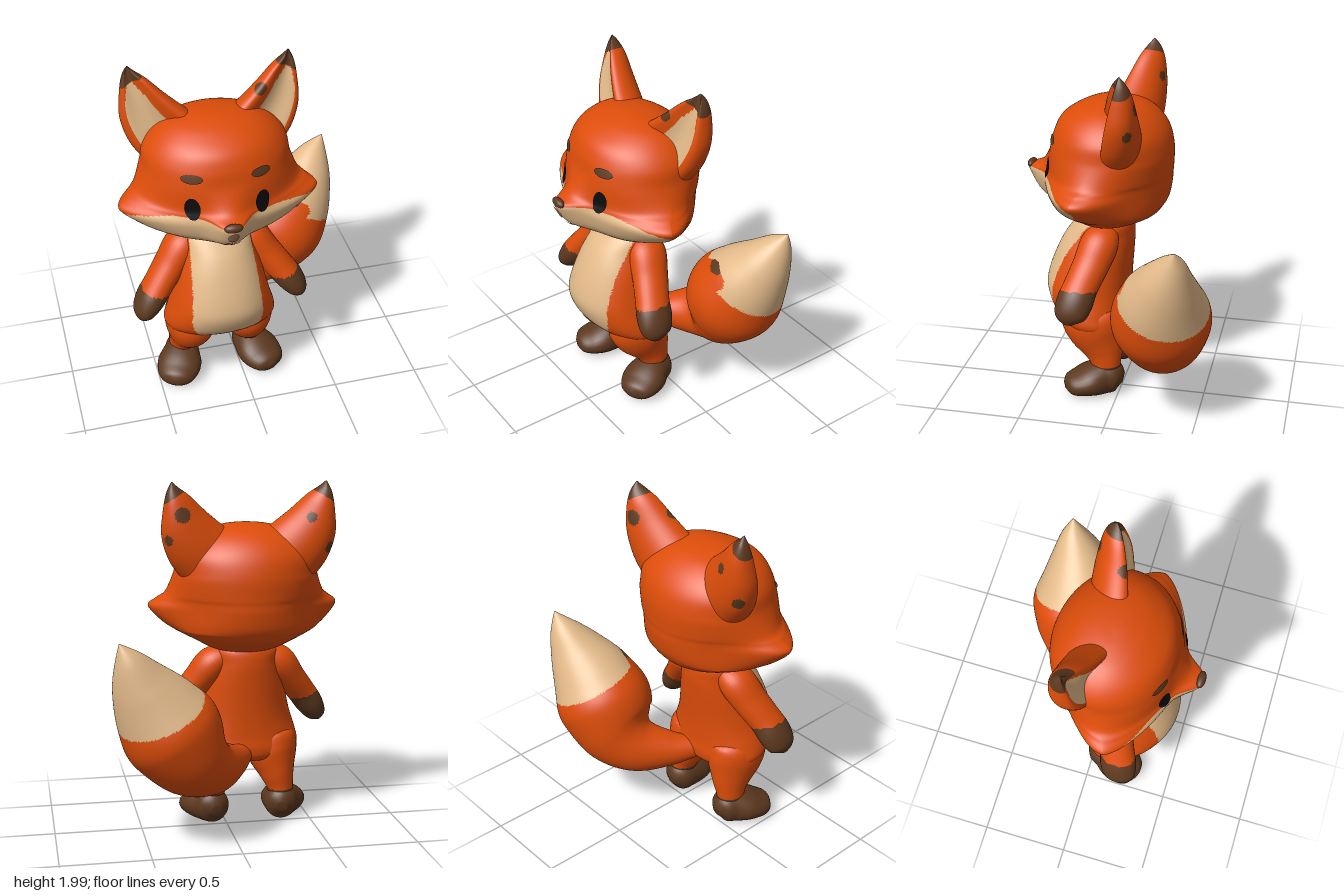
import * as THREE from 'three';

const mat = (name, color) => { const m = new THREE.MeshStandardMaterial({ color }); m.name = name; return m; };
const ORANGE = mat('orange fur', 0xdd4d0a);
const CREAM = mat('cream fur', 0xe3ba8a);
const BROWN = mat('brown fur', 0x5d391f);
const TAN = mat('tan fur', 0xa8795a);
const BLACK = mat('black', 0x0b0b0b);

// Smoothly interpolates rows of numbers, t from 0 to 1
function sample(keys, t) {
  const f = Math.min(Math.max(t, 0), 1) * (keys.length - 1);
  const i = Math.min(Math.floor(f), keys.length - 2), s = f - i;
  const row = (k) => keys[Math.min(Math.max(k, 0), keys.length - 1)];
  const [a, b, c, d] = [row(i - 1), row(i), row(i + 1), row(i + 2)];
  return b.map((p, k) => p + 0.5 * s * (c[k] - a[k]
    + s * (2 * a[k] - 5 * p + 4 * c[k] - d[k] + s * (3 * (p - c[k]) + d[k] - a[k]))));
}

// Closed skin over point(t, angle); pick(centroid, t, angle) chooses among the materials
function skin(name, rows, cols, point, materials, pick = () => 0) {
  const pos = [], tris = [];
  const add = (p) => pos.push(p.x, p.y, p.z);
  for (let i = 0; i <= rows; i++)
    for (let j = 0; j < cols; j++) add(point(i / rows, (j / cols) * Math.PI * 2));
  const at = (k) => new THREE.Vector3().fromArray(pos, k * 3);
  const caps = [0, rows].map((i) => {
    const c = new THREE.Vector3();
    for (let j = 0; j < cols; j++) c.addScaledVector(at(i * cols + j), 1 / cols);
    add(c);
    return pos.length / 3 - 1;
  });
  for (let j = 0; j < cols; j++) {
    const k = (j + 1) % cols, end = rows * cols, ang = ((j + 0.5) / cols) * Math.PI * 2;
    tris.push([caps[0], k, j, 0, ang], [caps[1], end + j, end + k, 1, ang]);
    for (let i = 0; i < rows; i++) {
      const a = i * cols + j, b = i * cols + k, t = (i + 0.5) / rows;
      tris.push([a, b, b + cols, t, ang], [a, b + cols, a + cols, t, ang]);
    }
  }
  // Turn all faces outward
  let volume = 0;
  for (const [a, b, c] of tris) volume += at(a).dot(at(b).cross(at(c)));
  const sets = materials.map(() => []);
  for (const [a, b, c, t, ang] of tris) {
    const mid = at(a).add(at(b)).add(at(c)).divideScalar(3);
    sets[pick(mid, t, ang)].push(...(volume > 0 ? [a, b, c] : [a, c, b]));
  }
  const g = new THREE.BufferGeometry();
  g.setAttribute('position', new THREE.Float32BufferAttribute(pos, 3));
  g.setIndex(sets.flat());
  let start = 0;
  sets.forEach((s, i) => { g.addGroup(start, s.length, i); start += s.length; });
  g.computeVertexNormals();
  const mesh = new THREE.Mesh(g, materials.length > 1 ? materials : materials[0]);
  mesh.name = name;
  return mesh;
}

// Limb along a path; rows are x, y, z, radius, second radius
function limb(name, keys, side, ref, materials, pick, rows = 40, cols = 28) {
  const point = (t, a) => {
    const [x, y, z, r, r2] = sample(keys, t);
    const p = sample(keys, t - 0.02), q = sample(keys, t + 0.02);
    const dir = new THREE.Vector3(q[0] - p[0], q[1] - p[1], q[2] - p[2]).normalize();
    const u = ref.clone().cross(dir).normalize(), v = dir.clone().cross(u);
    const o = new THREE.Vector3(x, y, z).addScaledVector(u, Math.cos(a) * Math.max(r, 0.002))
      .addScaledVector(v, Math.sin(a) * Math.max(r2, 0.002));
    return o.set(o.x * side, Math.max(o.y, 0.003), o.z);
  };
  return skin(name, rows, cols, point, materials, pick);
}

// Head levels: y, half width, z of widest point, front z, back z, roundness, snout
const HEAD = [
  [1.02, 0.1, 0.1, 0.2, 0.0, 2, 0], [1.045, 0.2, 0.1, 0.27, -0.07, 2, 0],
  [1.1, 0.3, 0.1, 0.34, -0.18, 2, 0.01], [1.15, 0.4, 0.12, 0.4, -0.225, 1.8, 0.04],
  [1.2, 0.48, 0.15, 0.44, -0.25, 1.6, 0.07], [1.28, 0.55, 0.18, 0.465, -0.265, 1.45, 0.095],
  [1.33, 0.5, 0.16, 0.46, -0.267, 1.5, 0.11], [1.37, 0.455, 0.12, 0.445, -0.27, 1.7, 0.04],
  [1.48, 0.41, 0.08, 0.425, -0.27, 2, 0], [1.58, 0.39, 0.06, 0.4, -0.245, 2, 0],
  [1.66, 0.33, 0.06, 0.355, -0.19, 2, 0], [1.72, 0.24, 0.07, 0.26, -0.11, 2, 0],
  [1.75, 0.13, 0.08, 0.17, -0.02, 2, 0], [1.76, 0.03, 0.09, 0.11, 0.07, 2, 0],
];
const snoutAt = (x, s) => s * Math.exp(-(Math.abs(x / 0.098) ** 2.6));

// Diamond-shaped face in front, round skull with tapering cheeks behind
function headPoint(t, a) {
  const [y, w, zw, zf, zb, e, s] = sample(HEAD, t);
  const c = Math.abs(Math.cos(a)), n = Math.abs(Math.sin(a)), sx = Math.sign(Math.cos(a));
  if (Math.sin(a) < 0) {
    const skull = Math.min(w, 0.415);
    return new THREE.Vector3(sx * (skull * c + (w - skull) * c ** 8), y, zw + (zb - zw) * n);
  }
  const x = w * sx * c ** (2 / e);
  return new THREE.Vector3(x, y, zw + (zf - zw) * n ** (2 / e) + snoutAt(x, s));
}
const muzzlePick = (p) => (p.z > 0.17 && p.y < Math.min(1.326, 1.275 + 0.4 * (p.z - 0.245)) ? 1 : 0);

// Depth of the face at x, y
function faceZ(x, y) {
  let lo = 0, hi = 1;
  for (let i = 0; i < 30; i++) {
    const m = (lo + hi) / 2;
    if (sample(HEAD, m)[0] < y) lo = m; else hi = m;
  }
  const [, w, zw, zf, , e, s] = sample(HEAD, lo);
  return zw + (zf - zw) * Math.max(0, 1 - Math.abs(x / w) ** e) ** (1 / e) + snoutAt(x, s);
}

// Thin painted oval that follows the face
function faceMark(name, x, y, rx, ry, tilt, material) {
  const g = new THREE.RingGeometry(0, 1, 24, 5).scale(rx, ry, 1).rotateZ(tilt).translate(x, y, 0);
  const p = g.attributes.position;
  for (let i = 0; i < p.count; i++) p.setZ(i, faceZ(p.getX(i), p.getY(i)) + 0.008);
  g.computeVertexNormals();
  const mesh = new THREE.Mesh(g, material);
  mesh.name = name;
  return mesh;
}

// Ear sections: outer x, y, inner x, y, centre z, depth
const EAR = [
  [0.36, 1.44, 0.02, 1.66, 0.02, 0.16], [0.445, 1.56, 0.12, 1.735, 0.0, 0.15],
  [0.488, 1.7, 0.235, 1.83, -0.025, 0.122], [0.48, 1.84, 0.33, 1.92, -0.047, 0.085],
  [0.462, 1.935, 0.395, 1.967, -0.06, 0.045], [0.433, 1.997, 0.428, 1.997, -0.065, 0.004],
];
// Brown flecks on the ears: x, y, z, radius
const FLECKS = [
  [0.38, 1.82, -0.13, 0.045], [0.46, 1.68, -0.12, 0.03], [0.26, 1.83, 0.03, 0.035],
  [-0.45, 1.63, -0.11, 0.035], [-0.34, 1.8, -0.13, 0.03],
];
function ear(name, side) {
  const point = (t, a) => {
    const [ox, oy, ix, iy, zc, d] = sample(EAR, t);
    const c = Math.cos(a), n = Math.sin(a), k = (c + 1) / 2;
    const z = zc + d * n * (n > 0 ? 1 - 0.85 * n * n : 1) + 0.2 * d * c;
    return new THREE.Vector3(side * (ox + (ix - ox) * k), oy + (iy - oy) * k, z);
  };
  const pick = (p, t, a) => {
    if (p.y + 0.6 * (Math.abs(p.x) - 0.43) > 1.905) return 2;
    if (FLECKS.some(([x, y, z, r]) => Math.hypot(p.x - x, p.y - y, p.z - z) < r)) return 2;
    const width = 0.54 * Math.min(1, (0.84 - t) * 3);
    return Math.sin(a) > 0 && t > 0.16 && Math.abs(Math.cos(a) + 0.2) < width ? 1 : 0;
  };
  return skin(name, 70, 64, point, [ORANGE, CREAM, BROWN], pick);
}

// Torso levels: y, half width, front z, back z
const TORSO = [
  [1.08, 0.12, 0.24, 0.0], [1.03, 0.185, 0.28, -0.04], [0.95, 0.2, 0.345, -0.05],
  [0.85, 0.23, 0.4, -0.045], [0.72, 0.26, 0.45, -0.035], [0.62, 0.285, 0.465, -0.03],
  [0.52, 0.315, 0.43, -0.03], [0.45, 0.322, 0.375, -0.035], [0.4, 0.28, 0.315, -0.025],
  [0.37, 0.19, 0.25, 0.01], [0.355, 0.07, 0.18, 0.07],
];
function torsoPoint(t, a) {
  const [y, w, zf, zb] = sample(TORSO, t);
  const round = (v) => Math.sign(v) * Math.abs(v) ** 0.94;
  return new THREE.Vector3(w * round(Math.cos(a)), y, (zf + zb) / 2 + ((zf - zb) / 2) * round(Math.sin(a)));
}
function bellyPick(p) {
  const low = Math.max(0, 0.6 - p.y) / 0.22;
  const half = low > 0 ? 0.205 * Math.sqrt(Math.max(0, 1 - low * low)) : 0.205 - 0.08 * (p.y - 0.6);
  return p.z > 0.17 && Math.abs(p.x) < half ? 1 : 0;
}

const ARM = [
  [0.12, 1.0, 0.1, 0.06, 0.08], [0.195, 0.945, 0.115, 0.095, 0.11], [0.275, 0.84, 0.15, 0.088, 0.105],
  [0.352, 0.74, 0.19, 0.083, 0.1], [0.41, 0.66, 0.215, 0.08, 0.105],
  [0.455, 0.59, 0.235, 0.058, 0.085], [0.475, 0.55, 0.24, 0.012, 0.02],
];
const LEG = [
  [0.15, 0.6, 0.19, 0.06, 0.08], [0.163, 0.49, 0.175, 0.14, 0.18], [0.17, 0.38, 0.138, 0.145, 0.175],
  [0.19, 0.27, 0.097, 0.103, 0.124], [0.205, 0.19, 0.08, 0.078, 0.09], [0.205, 0.12, 0.08, 0.075, 0.085],
];
const FOOT = [
  [0.195, 0.09, -0.025, 0.03, 0.03], [0.2, 0.098, 0.015, 0.085, 0.09], [0.212, 0.1, 0.08, 0.105, 0.105],
  [0.24, 0.088, 0.16, 0.13, 0.095], [0.268, 0.072, 0.23, 0.12, 0.075],
  [0.288, 0.064, 0.285, 0.085, 0.055], [0.298, 0.06, 0.31, 0.02, 0.02],
];
const TAIL = [
  [-0.1, 0.42, 0.02, 0.06], [0.0, 0.41, -0.1, 0.105], [0.13, 0.43, -0.23, 0.165], [0.25, 0.51, -0.285, 0.235],
  [0.36, 0.66, -0.297, 0.28], [0.45, 0.8, -0.315, 0.24], [0.532, 0.94, -0.35, 0.17],
  [0.6, 1.08, -0.39, 0.085], [0.65, 1.18, -0.41, 0.003],
].map((k) => [...k, k[3]]);
// Cream tip, with a brown fleck in an orange notch at its front edge
function tailPick(p) {
  const oval = (y, rx, ry) => p.z > -0.25 && Math.hypot((p.x - 0.375) / rx, (p.y - y) / ry) < 1;
  if (oval(0.918, 0.058, 0.024)) return 2;
  if (oval(0.87, 0.12, 0.06)) return 0;
  return p.y + 0.45 * p.x > 1.03 + 0.28 * (p.z + 0.1) ? 1 : 0;
}

export function createModel() {
  const model = new THREE.Group();
  model.name = 'fox';
  const Y = new THREE.Vector3(0, 1, 0), Z = new THREE.Vector3(0, 0, 1);
  const figure = new THREE.Group();
  figure.name = 'figure';
  figure.position.x = -0.13;
  model.add(figure);

  // Head with cream lower face, turned slightly to its right
  const head = new THREE.Group();
  head.name = 'head';
  head.position.x = 0.012;
  head.rotation.y = -0.035;
  figure.add(head);
  head.add(skin('skull', 110, 120, headPoint, [ORANGE, CREAM], muzzlePick));
  const nose = new THREE.Mesh(new THREE.SphereGeometry(1, 20, 14), BROWN);
  nose.name = 'nose';
  nose.scale.set(0.05, 0.025, 0.025);
  nose.position.set(0, 1.333, 0.556);
  head.add(nose, faceMark('mouth', 0, 1.2, 0.06, 0.009, 0, BROWN),
    faceMark('muzzlePatch', 0, 1.275, 0.03, 0.04, 0, TAN));

  // Torso with cream belly
  figure.add(skin('torso', 100, 110, torsoPoint, [ORANGE, CREAM], bellyPick));

  // Paired parts
  for (const [label, s] of [['left', 1], ['right', -1]]) {
    head.add(
      ear(label + 'Ear', s),
      faceMark(label + 'Eye', s * 0.188, 1.38, 0.04, 0.062, 0, BLACK),
      faceMark(label + 'Brow', s * 0.183, 1.547, 0.055, 0.025, s * -0.05, BROWN),
    );
    figure.add(
      limb(label + 'Arm', ARM, s, Z, [ORANGE, BROWN], (p) => (p.y + 0.25 * (0.37 - Math.abs(p.x)) < 0.725 ? 1 : 0)),
      limb(label + 'Leg', LEG, s, Z, [ORANGE, BROWN], (p) => (p.y < 0.185 ? 1 : 0)),
      limb(label + 'Foot', FOOT, s, Y, [BROWN]),
    );
  }

  // Bushy tail
  model.add(limb('tail', TAIL, 1, Z, [ORANGE, CREAM, BROWN], tailPick, 120, 96));
  return model;
}
